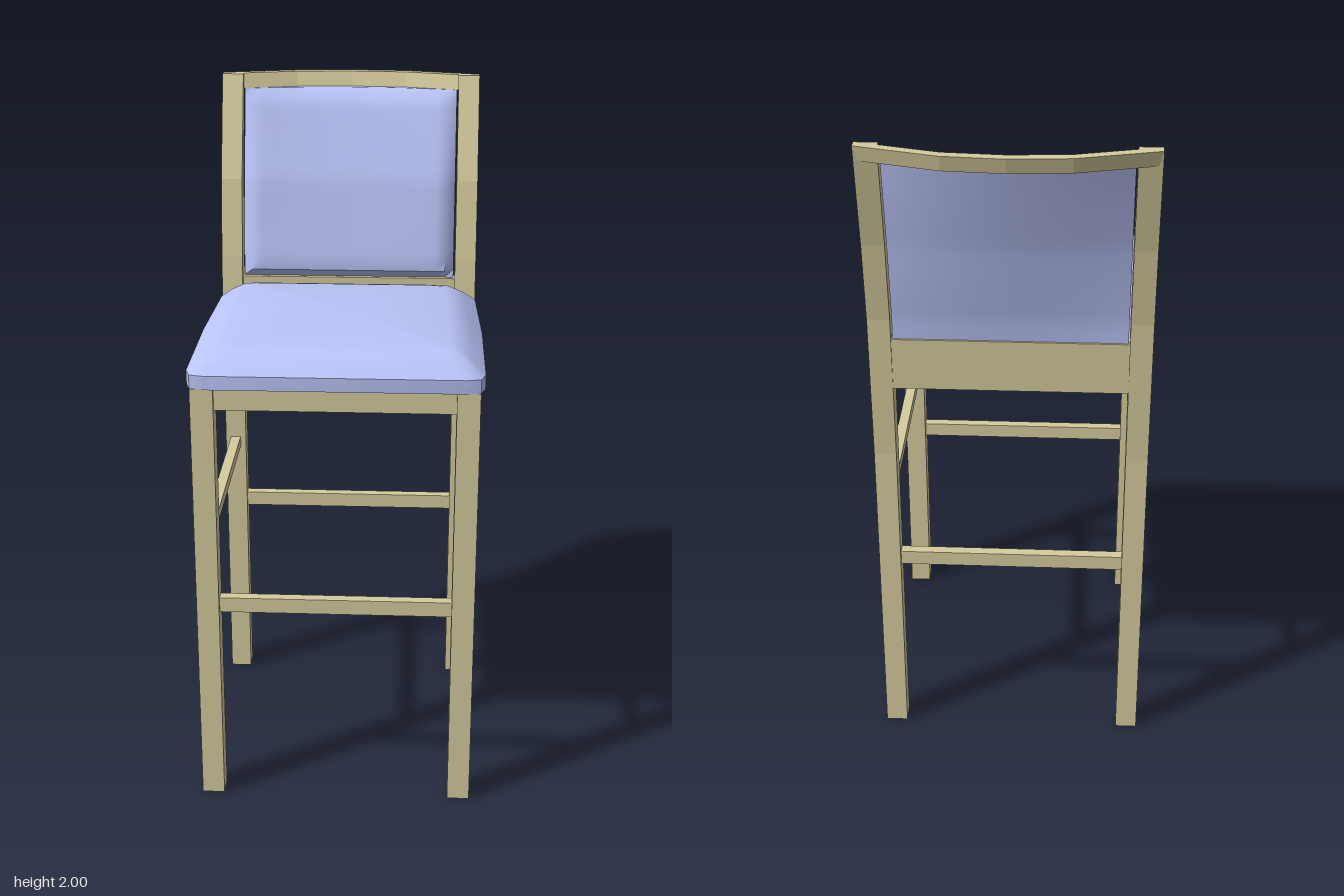
import * as THREE from 'three';
import { toCreasedNormals } from 'three/addons/utils/BufferGeometryUtils.js';

const wood = new THREE.MeshStandardMaterial({ color: 0xd6cc9e });
const fabric = new THREE.MeshStandardMaterial({ color: 0xbac4f8 });

// Side curves of the back posts, as [y, z]
const FRONT = [[0, -0.26], [1.25, -0.262], [1.45, -0.28], [1.69, -0.318], [2, -0.42]];
const BACK = [[0, -0.32], [1.0, -0.32], [1.45, -0.342], [1.69, -0.38], [2, -0.45]];
// Backward bow of the top rail, as [|x|, depth]
const BOW = [[0, 0.075], [0.17, 0.063], [0.4, 0]];

function sample(curve, t) {
  for (let i = 1; i < curve.length; i++) {
    const [a, va] = curve[i - 1], [b, vb] = curve[i];
    if (t <= b) return va + (vb - va) * (t - a) / (b - a);
  }
  return curve[curve.length - 1][1];
}

export function createModel() {
  const group = new THREE.Group();

  const add = (name, geometry, material) => {
    const mesh = new THREE.Mesh(geometry, material);
    mesh.name = name;
    group.add(mesh);
  };
  // Box given by its limits
  const bar = (name, x0, x1, y0, y1, z0, z1) => {
    const g = new THREE.BoxGeometry(x1 - x0, y1 - y0, z1 - z0);
    add(name, g.translate((x0 + x1) / 2, (y0 + y1) / 2, (z0 + z1) / 2), wood);
  };
  // Side profile of [z, y] points, extruded from x0 to x1
  const sideProfile = (name, pts, x0, x1) => {
    const shape = new THREE.Shape(pts.map(p => new THREE.Vector2(...p)));
    const g = new THREE.ExtrudeGeometry(shape, { depth: x1 - x0, bevelEnabled: false });
    add(name, g.rotateY(-Math.PI / 2).translate(x1, 0, 0), wood);
  };

  // Legs, side aprons and side stretchers
  const post = [...FRONT, ...[...BACK].reverse()].map(([y, z]) => [z, y]);
  for (const [side, s] of [['left', 1], ['right', -1]]) {
    const both = (a, b) => s > 0 ? [a, b] : [-b, -a];
    const legX = both(0.335, 0.4);
    bar(side + 'FrontLeg', ...legX, 0, 1.29, 0.45, 0.515);
    sideProfile(side + 'BackPost', post, ...legX);
    bar(side + 'Apron', ...both(0.348, 0.388), 1.23, 1.29, -0.262, 0.45);
    bar(side + 'Stretcher', ...both(0.352, 0.383), 0.815, 0.848, -0.26, 0.45);
  }

  // Front and back cross pieces
  bar('frontApron', -0.335, 0.335, 1.225, 1.29, 0.462, 0.502);
  bar('frontStretcher', -0.335, 0.335, 0.6, 0.645, 0.467, 0.498);
  bar('backStretcher', -0.335, 0.335, 0.6, 0.645, -0.305, -0.274);
  sideProfile('lowerBackRail',
    [[-0.29, 1.225], [-0.29, 1.385], [-0.335, 1.385], [-0.328, 1.225]], -0.335, 0.335);

  // Bowed top rail, leaning back like the posts
  const xs = [-0.4, -0.17, 0, 0.17, 0.4];
  const edge = z => xs.map(x => new THREE.Vector2(x, z - sample(BOW, Math.abs(x))));
  const rail = new THREE.ExtrudeGeometry(
    new THREE.Shape([...edge(-0.45), ...edge(-0.42).reverse()]),
    { depth: 0.045, bevelEnabled: false });
  rail.rotateX(Math.PI / 2).translate(0, 2, 0);
  const rp = rail.attributes.position;
  for (let i = 0; i < rp.count; i++) rp.setZ(i, rp.getZ(i) + (2 - rp.getY(i)) * 0.3);
  rail.computeVertexNormals();
  add('topRail', rail, wood);

  // Back pad: a fine box bent to the backrest with a rounded front rim
  const pad = new THREE.BoxGeometry(0.662, 0.57, 1, 24, 22, 2);
  pad.translate(0, 1.67, 0);
  const pp = pad.attributes.position;
  for (let i = 0; i < pp.count; i++) {
    const x = pp.getX(i), y = pp.getY(i);
    const t = THREE.MathUtils.clamp((y - 1.385) / 0.6, 0, 1);
    const bow = t * 0.075 * (1 - (x / 0.4) ** 2);
    const back = sample(BACK, y) - bow + 0.01 + 0.02 * t;
    const front = sample(FRONT, y) - bow * 0.4 + 0.002;
    const d = Math.min(0.331 - Math.abs(x), 0.285 - Math.abs(y - 1.67));
    const r = 1 - THREE.MathUtils.clamp(d / 0.05, 0, 1);
    const drop = (1 - Math.sqrt(1 - r * r)) * 0.6 * (front - back);
    pp.setZ(i, THREE.MathUtils.lerp(back, front - drop, pp.getZ(i) + 0.5));
  }
  add('backPad', toCreasedNormals(pad, 0.7), fabric);

  // Seat cushion: rings of the seat outline, drawn in towards a low crown
  const half = [[0.33, -0.29], [0.38, -0.28], [0.4, -0.25], [0.413, 0.1],
    [0.413, 0.47], [0.4, 0.51], [0.36, 0.52]];
  const outline = [...half, ...half.map(([x, z]) => [-x, z]).reverse()];
  const rings = [[0, 1.29], [1, 1.29], [1, 1.33], [0.91, 1.362],
    [0.83, 1.384], [0.76, 1.391], [0.4, 1.402], [0, 1.406]];
  const n = outline.length, positions = [], index = [];
  rings.forEach(([k, y], r) => {
    for (const [x, z] of outline) positions.push(x * k, y, 0.115 + (z - 0.115) * k);
    if (!r) return;
    for (let i = 0; i < n; i++) {
      const j = (i + 1) % n, a = (r - 1) * n + i, b = (r - 1) * n + j;
      if (r > 1) index.push(a, a + n, b);
      if (r === 1) index.push(a, a + n, b + n);
      else if (k > 0) index.push(b, a + n, b + n);
    }
  });
  const seat = new THREE.BufferGeometry();
  seat.setAttribute('position', new THREE.Float32BufferAttribute(positions, 3));
  seat.setIndex(index);
  add('seatCushion', toCreasedNormals(seat, 0.6), fabric);

  return group;
}
